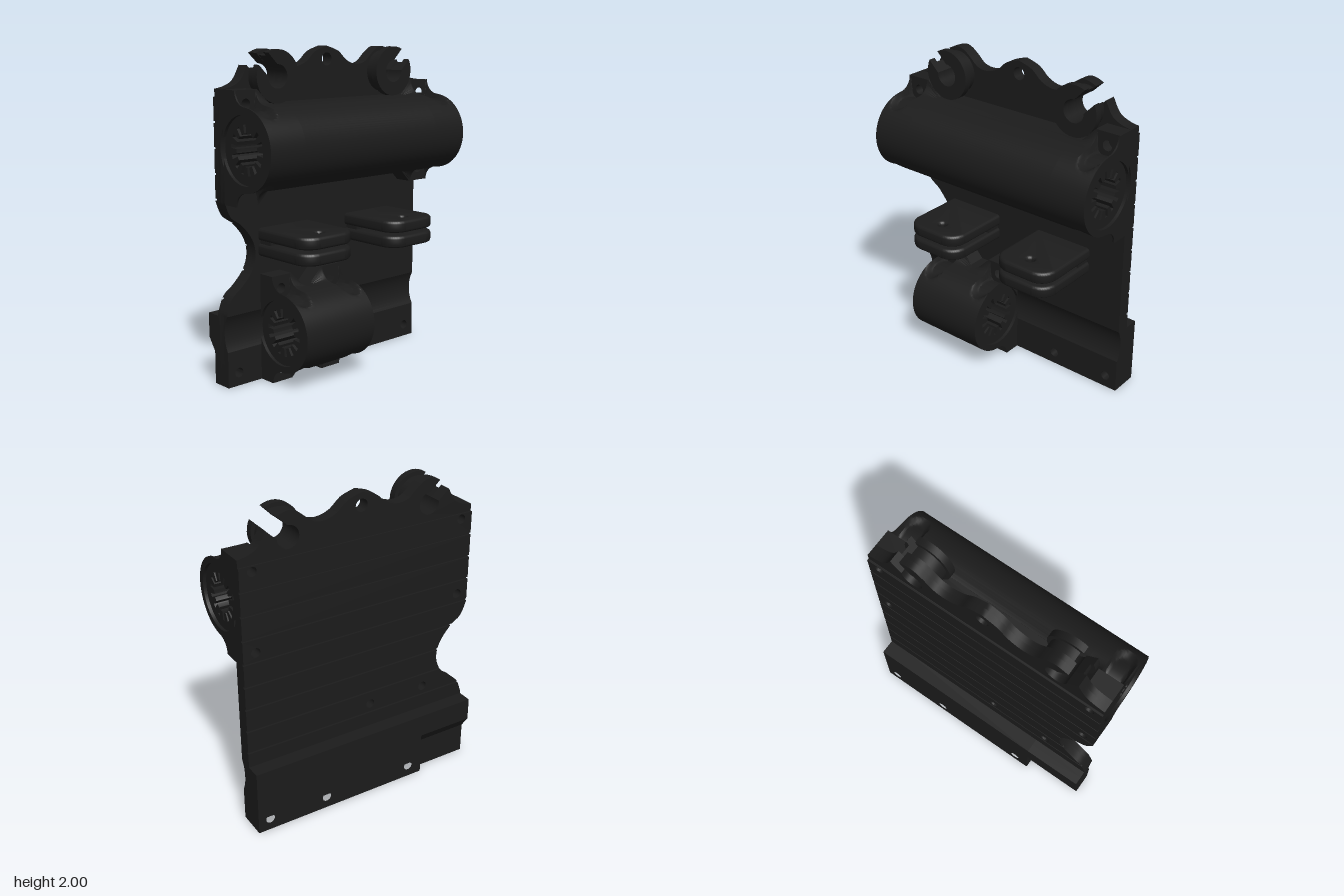
import * as THREE from 'three';
import { toCreasedNormals } from 'three/addons/utils/BufferGeometryUtils.js';

const material = new THREE.MeshStandardMaterial({ color: 0x1c1c1c });
const V = (x, y) => new THREE.Vector2(x, y);
const HOOK_Z = 0.475, HOOK_Y = 1.835;

function add(group, name, geometry, x = 0, y = 0, z = 0) {
  const mesh = new THREE.Mesh(geometry, material);
  mesh.name = name;
  mesh.position.set(x, y, z);
  group.add(mesh);
  return mesh;
}

function circlePath(x, y, r) {
  return new THREE.Path().absarc(x, y, r, 0, Math.PI * 2, true);
}

// Extrudes an outline of [z, y] points along x, with round [z, y, r] holes
function slabX(points, x0, x1, holes = []) {
  const shape = new THREE.Shape(points.map(([z, y]) => V(-z, y)));
  holes.forEach(([z, y, r]) => shape.holes.push(circlePath(-z, y, r)));
  const g = new THREE.ExtrudeGeometry(shape, { depth: x1 - x0, bevelEnabled: false, curveSegments: 12 });
  return toCreasedNormals(g.rotateY(Math.PI / 2).translate(x0, 0, 0), 0.6);
}

// Extrudes an outline of [x, y] points along z
function slabZ(points, z0, z1) {
  const shape = new THREE.Shape(points.map(([x, y]) => V(x, y)));
  const g = new THREE.ExtrudeGeometry(shape, { depth: z1 - z0, bevelEnabled: false });
  return toCreasedNormals(g.translate(0, 0, z0), 0.6);
}

const rect = (z0, z1, y0, y1) => [[z0, y0], [z1, y0], [z1, y1], [z0, y1]];

// Arc around a hook centre, angles in degrees
function hookArc(r, a0, a1, n = 24) {
  return Array.from({ length: n + 1 }, (_, i) => {
    const a = THREE.MathUtils.degToRad(a0 + (a1 - a0) * i / n);
    return [HOOK_Z + r * Math.cos(a), HOOK_Y + r * Math.sin(a)];
  });
}

const spline = (pts, n) =>
  new THREE.SplineCurve(pts.map(p => V(...p))).getPoints(n).map(p => [p.x, p.y]);

// Plate silhouette: scalloped top with two open hooks, side notch on +z
function plateOutline() {
  const half = [
    ...spline([[0, 2], [0.095, 1.968], [0.165, 1.91], [0.245, 1.883], [0.32, 1.895],
      [0.38, 1.945], [0.43, 1.98], [0.48, 1.99], [0.546, 1.968]], 32),
    ...hookArc(0.07, 88, 362),
    ...spline([[0.615, 1.9], [0.66, 1.82], [0.72, 1.785], [0.79, 1.77]], 8),
  ];
  const notch = spline([[0.79, 1.12], [0.75, 1.03], [0.67, 0.97], [0.595, 0.875], [0.573, 0.775],
    [0.605, 0.68], [0.68, 0.6], [0.75, 0.545], [0.79, 0.45]], 32);
  const mirrored = half.slice(1).reverse().map(([z, y]) => [-z, y]);
  return [...half, ...notch, [0.79, 0], [-0.79, 0], ...mirrored];
}

// Keeps the part of an outline between two heights
function clipBand(points, y0, y1) {
  for (const [level, s] of [[y0, 1], [y1, -1]]) {
    const out = [];
    points.forEach((p, i) => {
      const q = points[(i + 1) % points.length];
      const a = s * (p[1] - level), b = s * (q[1] - level);
      if (a >= 0) out.push(p);
      if (a * b < 0) out.push([p[0] + (q[0] - p[0]) * a / (a - b), level]);
    });
    points = out;
  }
  return points;
}

// Lofts counter-clockwise [x, y] sections along z and caps both ends
function loft(sections, zs) {
  const n = sections[0].length, position = [], index = [];
  sections.forEach((s, k) => s.forEach(([x, y]) => position.push(x, y, zs[k])));
  for (let k = 0; k < zs.length - 1; k++) {
    for (let j = 0; j < n; j++) {
      const a = k * n + j, b = k * n + (j + 1) % n;
      index.push(a, b, b + n, a, b + n, a + n);
    }
  }
  for (const k of [0, zs.length - 1]) {
    const faces = THREE.ShapeUtils.triangulateShape(sections[k].map(p => V(...p)), []);
    faces.forEach(([a, b, c]) => index.push(...(k ? [a, b, c] : [a, c, b]).map(i => i + k * n)));
  }
  const g = new THREE.BufferGeometry();
  g.setAttribute('position', new THREE.Float32BufferAttribute(position, 3));
  g.setIndex(index);
  return toCreasedNormals(g, 0.6);
}

// Bearing housing section (centre y = 0), with screw clearance and fillet near each boss
function housingSection(z, bosses) {
  let w = 0, boss = 0;
  bosses.forEach(b => {
    const d = Math.abs(z - b);
    w = Math.max(w, Math.sqrt(Math.max(0, 0.0049 - d * d)));
    boss = Math.max(boss, THREE.MathUtils.clamp(1 - (d - 0.08) / 0.09, 0, 1));
  });
  const top = [[-0.13, 0.24], [-0.0201, 0.24]];
  for (let i = 0; i <= 8; i++) {
    const a = i / 8 * Math.PI / 2;
    top.push([0.07 - 0.09 * Math.cos(a), 0.241 + 0.09 * boss * (1 - Math.sin(a))]);
  }
  for (let i = 1; i <= 24; i++) {
    const a = (1 - i / 24) * 1.48;
    top.push([0.06 + 0.24 * Math.cos(a), 0.24 * Math.sin(a)]);
  }
  const outer = top.map(([x, y]) => {
    if (w < 1e-4) return [x, y];
    const wall = Math.sqrt(Math.max(0, 0.042 - (x - 0.06) ** 2));
    return [x, Math.min(y, Math.max(0.25 - w, wall))];
  });
  const bore = [], a0 = Math.acos(-0.95);
  for (let i = 0; i <= 40; i++) {
    const a = a0 - 2 * a0 * i / 40;
    bore.push([0.06 + 0.2 * Math.cos(a), 0.2 * Math.sin(a)]);
  }
  const bottom = outer.slice(0, -1).map(([x, y]) => [x, -y]);
  return [...bottom, ...outer.slice().reverse(), ...bore];
}

// Housing with drilled screw pads above and below
function buildHousing(name, y, z0, z1, bosses) {
  const group = new THREE.Group();
  group.name = name;
  const mid = (z0 + z1) / 2, zs = [z0, z1];
  bosses.forEach(b => {
    const inward = Math.sign(mid - b);
    for (let k = -6; k <= 6; k++) zs.push(b + 0.07 * k / 6);
    zs.push(b + inward * 0.08, b + inward * 0.17);
    for (const s of [1, -1]) {
      const outerZ = inward > 0 ? z0 : z1;
      const pad = [[outerZ, s * 0.19], [b + inward * 0.17, s * 0.19], [b + inward * 0.17, s * 0.24],
        [b + inward * 0.08, s * 0.33], [outerZ, s * 0.33]];
      add(group, 'screwPad', slabX(pad, -0.13, -0.02, [[b, s * 0.25, 0.031]]));
    }
  });
  const levels = [...new Set(zs.map(z => +z.toFixed(4)))]
    .filter(z => z >= z0 && z <= z1).sort((a, b) => a - b);
  add(group, 'housing', loft(levels.map(z => housingSection(z, bosses)), levels));
  group.position.y = y;
  return group;
}

// Sleeve bearing with inward teeth
function bearingGeometry(length, turn) {
  const shape = new THREE.Shape().absarc(0, 0, 0.2, 0, Math.PI * 2, false);
  const teeth = [], count = 14;
  for (let i = 0; i < count; i++) {
    for (const [t, r] of [[0, 0.095], [0.28, 0.095], [0.56, 0.095], [0.6, 0.145], [0.96, 0.145]]) {
      const a = (i + t + turn) / count * Math.PI * 2;
      teeth.push(V(r * Math.cos(a), r * Math.sin(a)));
    }
  }
  shape.holes.push(new THREE.Path(teeth));
  const g = new THREE.ExtrudeGeometry(shape, { depth: length, bevelEnabled: false, curveSegments: 32 });
  return toCreasedNormals(g, 0.4);
}

// Rounded belt tab lying flat, bottom at y = 0
function tabGeometry() {
  const s = new THREE.Shape().moveTo(-0.13, -0.18).lineTo(0.2, -0.18);
  s.absarc(0.2, -0.09, 0.09, -Math.PI / 2, 0).absarc(0.2, 0.09, 0.09, 0, Math.PI / 2);
  s.lineTo(-0.13, 0.18);
  s.holes.push(circlePath(0.19, 0, 0.045));
  const g = new THREE.ExtrudeGeometry(s, { depth: 0.035, bevelSize: 0.02, bevelThickness: 0.02, bevelSegments: 4 });
  return toCreasedNormals(g.rotateX(-Math.PI / 2).translate(0, 0.02, 0), 0.6);
}

export function createModel() {
  const model = new THREE.Group();
  model.name = 'slidingCarriage';
  const outline = plateOutline();
  const holes = [[0, 1.92, 0.04]];
  for (const z of [0.71, -0.71]) for (const y of [0.08, 1.19, 1.69]) holes.push([z, y, 0.03]);
  for (const z of [0.47, 0.07]) holes.push([z, 0.59, 0.03]);
  for (const z of [0.31, -0.31]) holes.push([z, 0.08, 0.03]);
  const band = (name, y0, y1, x0, x1) => add(model, name,
    slabX(clipBand(outline, y0, y1), x0, x1, holes.filter(h => h[1] > y0 && h[1] < y1)));

  // Plate core, front layer with two round channels, grooved back skin
  add(model, 'plateCore', slabX(outline, -0.207, -0.165, holes));
  [[0, 0.22], [0.44, 1.33], [1.55, 2.1]].forEach(([a, b]) => band('plateFront', a, b, -0.165, -0.13));
  for (const y of [0.33, 1.44]) {
    const arc = Array.from({ length: 13 }, (_, i) => {
      const a = Math.PI + (i / 6 - 1) * 0.524;
      return [0.06 + 0.22 * Math.cos(a), y - 0.22 * Math.sin(a)];
    });
    add(model, 'plateChannel', slabZ([[-0.165, y - 0.11], ...arc, [-0.165, y + 0.11]], -0.79, 0.79));
  }
  for (let y = 0.38; y < 1.7; y += 0.15) {
    band('backStrip', y + 0.006, y > 1.6 ? 2.1 : y + 0.144, -0.22, -0.207);
  }

  // Thick foot behind the plate, recessed at the +z end
  const footHoles = holes.filter(h => h[1] < 0.1);
  add(model, 'foot', slabX(rect(-0.79, 0.41, 0, 0.43), -0.315, -0.207, footHoles.filter(h => h[0] < 0.4)));
  add(model, 'footRecess', slabX(rect(0.41, 0.79, 0, 0.43), -0.26, -0.207, footHoles.filter(h => h[0] > 0.4)));
  add(model, 'footLip', slabZ([[-0.315, 0.43], [-0.315, 0.28], [-0.26, 0.2], [-0.26, 0.43]], 0.41, 0.79));

  // Bearing housings and bearings
  model.add(buildHousing('upperHousing', 1.44, -0.79, 0.79, [-0.71, 0.71]));
  model.add(buildHousing('lowerHousing', 0.33, 0, 0.54, [0.07, 0.47]));
  add(model, 'upperBearing', bearingGeometry(0.6, 0), 0.06, 1.44, 0.17);
  add(model, 'upperBearing', bearingGeometry(0.6, 0.5), 0.06, 1.44, -0.77);
  add(model, 'lowerBearing', bearingGeometry(0.5, 0), 0.06, 0.33, 0.02);

  // Flanged open hooks on the top edge
  for (const side of [1, -1]) {
    for (const [r, x0, x1] of [[0.13, -0.13, -0.065], [0.155, -0.065, -0.02]]) {
      const d = THREE.MathUtils.radToDeg(Math.asin(0.048 / r));
      const ring = [...hookArc(r, 45 + d, 405 - d, 36), ...hookArc(0.07, 362, 88)];
      add(model, 'hook', slabX(ring.map(([z, y]) => [side * z, y]), x0, x1));
    }
    // Paired belt tabs
    for (const y of [0.77, 0.865]) add(model, 'beltTab', tabGeometry(), 0, y, side * 0.35);
    add(model, 'beltTabWeb', new THREE.BoxGeometry(0.1, 0.12, 0.37), -0.085, 0.855, side * 0.35);
  }
  return model;
}
